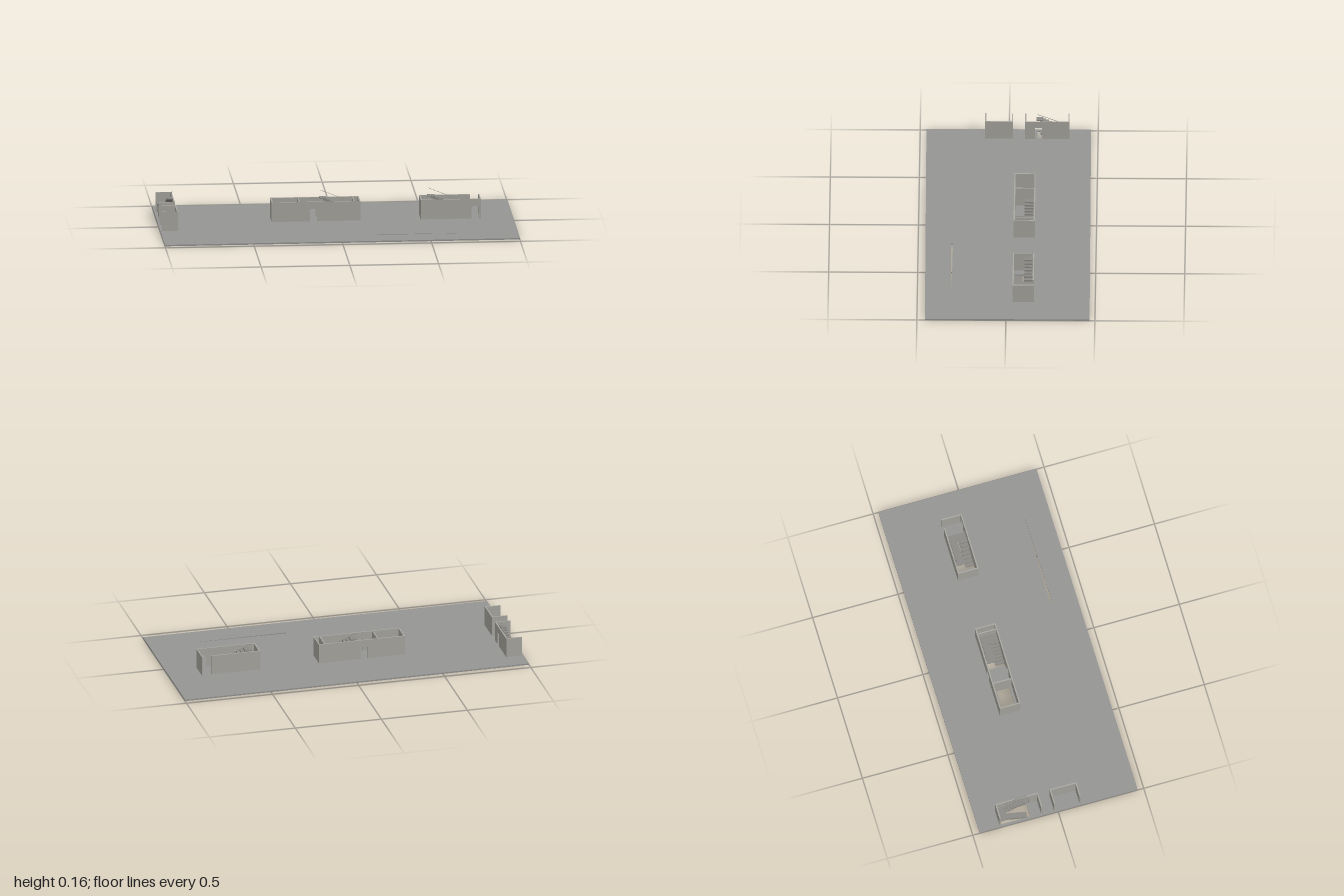
import * as THREE from 'three';

const slabMat = new THREE.MeshStandardMaterial({ color: 0x959594 });
slabMat.name = 'slab grey';
const wallMat = new THREE.MeshStandardMaterial({ color: 0xaaa8a1 });
wallMat.name = 'wall concrete';
const stairMat = new THREE.MeshStandardMaterial({ color: 0x8c8b86 });
stairMat.name = 'stair grey';

const FLOOR = 0.008, TOP = 0.12, DOOR = 0.08, T = 0.007;

function box(parent, name, mat, x0, x1, y0, y1, z0, z1) {
  const m = new THREE.Mesh(new THREE.BoxGeometry(x1 - x0, y1 - y0, z1 - z0), mat);
  m.position.set((x0 + x1) / 2, (y0 + y1) / 2, (z0 + z1) / 2);
  m.name = name;
  parent.add(m);
}

// Walls running along x (at depth z) or along z (at position x)
const wallX = (g, name, x0, x1, z, y0 = FLOOR) => box(g, name, wallMat, x0, x1, y0, TOP, z, z + T);
const wallZ = (g, name, x, z0, z1, y0 = FLOOR) => box(g, name, wallMat, x, x + T, y0, TOP, z0, z1);

// Wall along x with a door opening and lintel
function doorWallX(g, name, x0, x1, z, d0, d1) {
  wallX(g, name, x0, d0, z);
  wallX(g, name, d1, x1, z);
  wallX(g, name + 'Lintel', d0, d1, z, DOOR);
}

function rectPath(x0, x1, z0, z1) {
  return new THREE.Path([[x0, -z0], [x0, -z1], [x1, -z1], [x1, -z0]].map(p => new THREE.Vector2(...p)));
}

// One straight flight with stepped top and sloping soffit, rising towards -x or +x
function flight(g, name, startX, dir, y0, y1, run, z0, z1) {
  const n = 7, dx = run / n, dy = (y1 - y0) / n, pts = [];
  for (let i = 0; i < n; i++) {
    pts.push([startX + dir * dx * i, y0 + dy * i], [startX + dir * dx * i, y0 + dy * (i + 1)]);
  }
  const end = startX + dir * run;
  pts.push([end, y1], [end, y1 - 0.012], [startX + dir * dx, y0]);
  const shape = new THREE.Shape(pts.map(p => new THREE.Vector2(...p)));
  const m = new THREE.Mesh(new THREE.ExtrudeGeometry(shape, { depth: z1 - z0, bevelEnabled: false }), stairMat);
  m.position.z = z0;
  m.name = name;
  g.add(m);
}

// Two-flight stair: entry at local x = 0, half landing at the far end; side = z sign of the upper flight
function stair(length, width, gap, side) {
  const g = new THREE.Group();
  g.name = 'stair';
  const run = length - 0.055, mid = 0.065, high = 0.127;
  const band = s => s > 0 ? [gap / 2, width / 2] : [-width / 2, -gap / 2];
  flight(g, 'lowerFlight', 0.015, 1, 0.002, mid, run, ...band(-side));
  flight(g, 'upperFlight', 0.015 + run, -1, mid, high, run, ...band(side));
  box(g, 'halfLanding', stairMat, 0.015 + run, length, mid - 0.008, mid, -width / 2, width / 2);
  box(g, 'topLanding', stairMat, -0.005, 0.02, high - 0.005, high, ...band(side));
  // Sloping handrail beside the wall
  const a = new THREE.Vector3(0, 0.163, side * (width / 2 - 0.003));
  const b = new THREE.Vector3(0.015 + run, 0.163 - (0.015 + run) * 0.4, a.z);
  const rail = new THREE.Mesh(new THREE.BoxGeometry(a.distanceTo(b), 0.0015, 0.003), stairMat);
  rail.position.copy(a).lerp(b, 0.5);
  rail.rotation.z = Math.atan2(b.y - a.y, b.x - a.x);
  rail.name = 'handrail';
  g.add(rail);
  return g;
}

export function createModel() {
  const root = new THREE.Group();
  root.name = 'floorPlate';

  // Floor slab with stair, lift and slot openings
  const outline = new THREE.Shape([[-1, 0.46], [-1, -0.465], [1, -0.455], [1, 0.47]].map(p => new THREE.Vector2(...p)));
  outline.holes.push(
    rectPath(-0.33, -0.21, -0.13, -0.055),
    rectPath(-0.08, 0.1, -0.147, -0.043),
    rectPath(0.53, 0.73, -0.147, -0.043),
    rectPath(-0.985, -0.908, -0.332, -0.16),
    new THREE.Path([[0.21, -0.304], [0.21, -0.317], [0.73, -0.311], [0.73, -0.309]].map(p => new THREE.Vector2(...p)))
  );
  const slab = new THREE.Mesh(new THREE.ExtrudeGeometry(outline, { depth: FLOOR, bevelEnabled: false }), slabMat);
  slab.rotation.x = -Math.PI / 2;
  slab.name = 'slab';
  root.add(slab);

  // Middle core: lift shaft, passage and stair
  const middle = new THREE.Group();
  middle.name = 'middleCore';
  doorWallX(middle, 'frontWall', -0.36, 0.14, -0.035 - T, -0.145, -0.105);
  doorWallX(middle, 'backWall', -0.36, 0.14, -0.155, -0.145, -0.105);
  for (const x of [-0.36, -0.207, 0.101, 0.14 - T]) wallZ(middle, 'crossWall', x, -0.148, -0.042);
  const s1 = stair(0.18, 0.104, 0.002, -1);
  s1.position.set(-0.08, 0, -0.095);
  middle.add(s1);
  root.add(middle);

  // Left core: stair with a passage at its outer end
  const left = new THREE.Group();
  left.name = 'leftCore';
  doorWallX(left, 'frontWall', 0.48, 0.82 - T, -0.035 - T, 0.765, 0.805);
  wallX(left, 'backWall', 0.48, 0.765, -0.155);
  wallZ(left, 'innerEndWall', 0.48, -0.148, -0.042);
  wallZ(left, 'outerEndWall', 0.82 - T, -0.155, -0.035);
  const s2 = stair(0.2, 0.104, 0.01, -1);
  s2.position.set(0.53, 0, -0.095);
  left.add(s2);
  root.add(left);

  // Right core: open to the slab edge
  const right = new THREE.Group();
  right.name = 'rightCore';
  const ix = -0.9 - T;
  wallZ(right, 'stairWall', ix, -0.34, -0.185);
  wallZ(right, 'stairWallLintel', ix, -0.185, -0.145, DOOR);
  wallZ(right, 'stairWall', ix, -0.145, -0.09);
  wallZ(right, 'frontWall', ix, -0.022, 0.135);
  for (const z of [-0.34, -0.097, -0.022, 0.135 - T]) wallX(right, 'crossWall', -0.99, ix, z);
  const s3 = stair(0.172, 0.077, 0.01, 1);
  s3.rotation.y = Math.PI / 2;
  s3.position.set(-0.9465, 0, -0.16);
  right.add(s3);
  root.add(right);

  return root;
}
